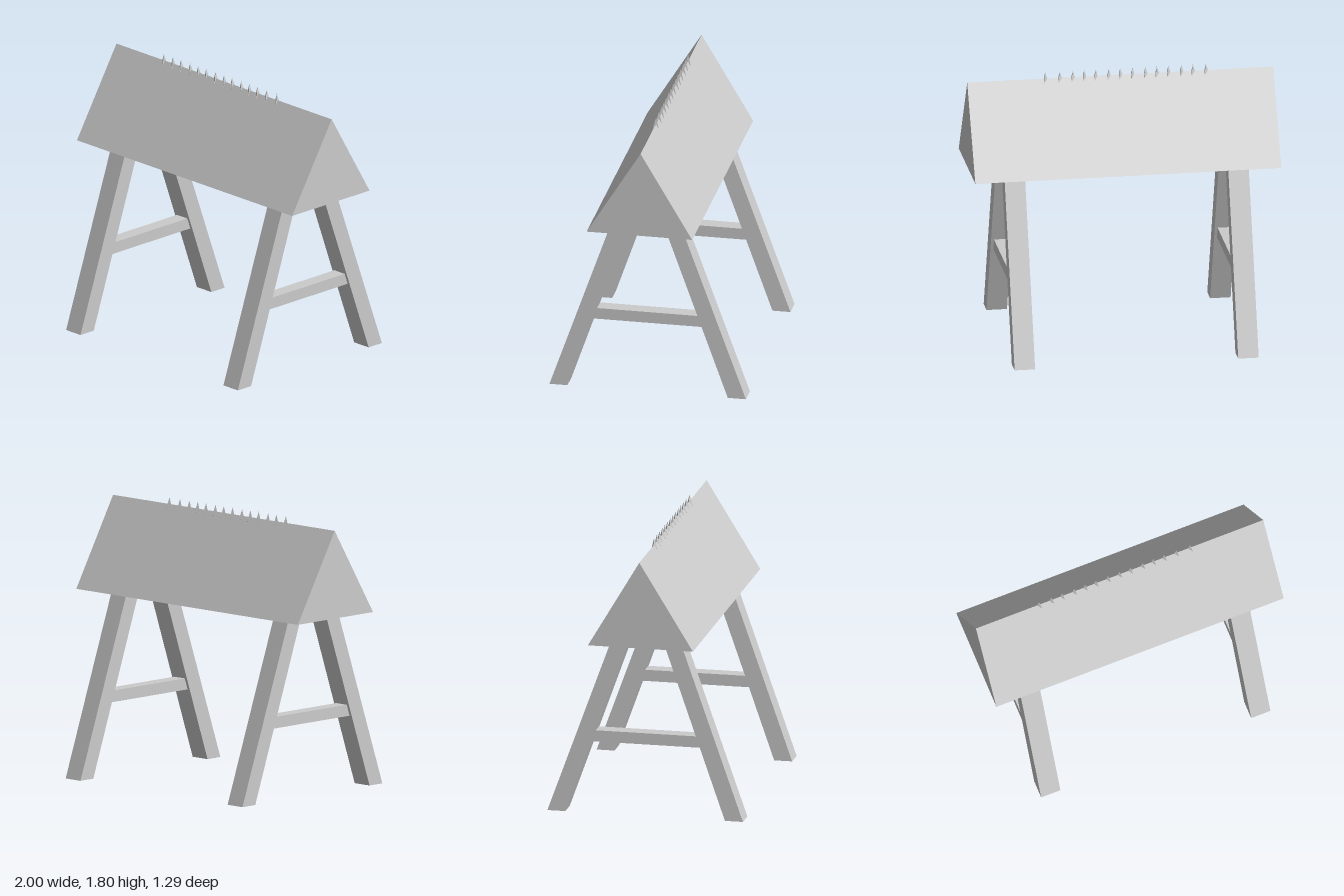
import * as THREE from 'three';
import { ConvexGeometry } from 'three/addons/geometries/ConvexGeometry.js';

const material = new THREE.MeshStandardMaterial({ color: 0xcccccc, flatShading: true });

// Prism with a (z, y) outline, running along x from x0 to x1
function prism(name, outline, x0, x1) {
  const shape = new THREE.Shape(outline.map(([z, y]) => new THREE.Vector2(z, y)));
  const geometry = new THREE.ExtrudeGeometry(shape, { depth: x1 - x0, bevelEnabled: false });
  geometry.rotateY(-Math.PI / 2).translate(x1, 0, 0);
  const mesh = new THREE.Mesh(geometry, material);
  mesh.name = name;
  return mesh;
}

export function createModel() {
  const model = new THREE.Group();
  model.name = 'spikedTrestle';
  const ridgeZ = 0.005, ridgeY = 1.755, underside = 1.18;

  // Triangular beam
  model.add(prism('beam', [[-0.335, underside], [0.36, underside], [ridgeZ, ridgeY]], -1, 1));

  // Two splayed leg pairs, each joined by a crossbar
  for (const [side, x] of [['left', 0.725], ['right', -0.737]]) {
    const frame = new THREE.Group();
    frame.name = side + 'LegFrame';
    frame.add(
      prism('frontLeg', [[0.528, 0], [0.647, 0], [0.234, underside], [0.119, underside]], x - 0.067, x + 0.067),
      prism('backLeg', [[-0.647, 0], [-0.528, 0], [-0.105, underside], [-0.219, underside]], x - 0.067, x + 0.067),
      prism('crossbar', [[-0.358, 0.475], [0.363, 0.475], [0.337, 0.55], [-0.331, 0.55]], x - 0.048, x + 0.048)
    );
    model.add(frame);
  }

  // Row of small three-sided spikes leaning on the ridge
  const spike = new ConvexGeometry([
    new THREE.Vector3(0, 1.8, 0),
    new THREE.Vector3(-0.014, 1.752, 0),
    new THREE.Vector3(0.012, 1.725, 0.02),
    new THREE.Vector3(0.012, 1.725, -0.02),
  ]);
  const spikes = new THREE.Group();
  spikes.name = 'spikes';
  const positions = [-0.56, -0.475, -0.4, -0.315, -0.24, -0.165, -0.08, 0, 0.075, 0.16, 0.235, 0.31, 0.395, 0.49];
  for (const x of positions) {
    const mesh = new THREE.Mesh(spike, material);
    mesh.name = 'spike';
    mesh.position.set(x, 0, ridgeZ);
    spikes.add(mesh);
  }
  model.add(spikes);
  return model;
}
